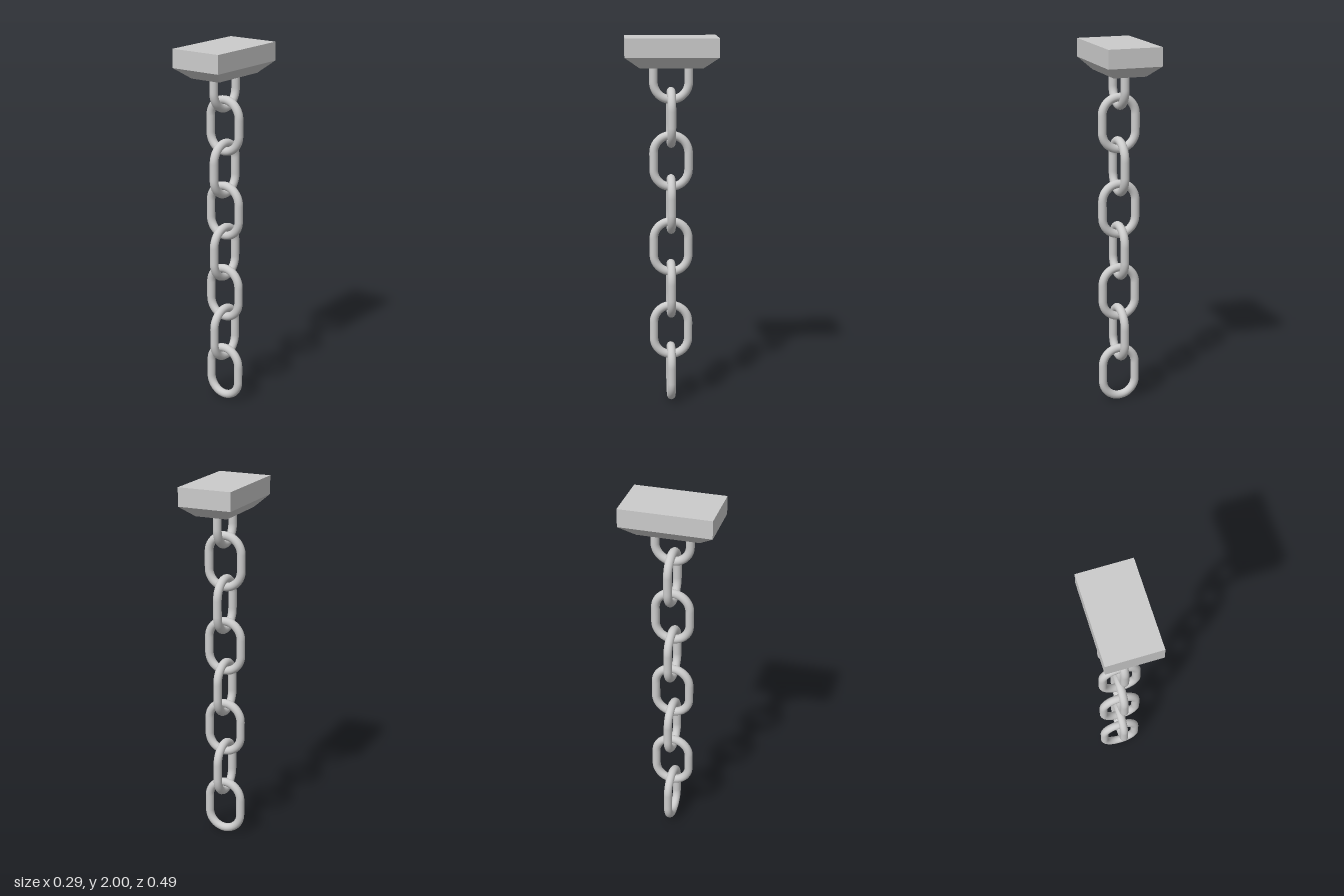
import * as THREE from 'three';

const BEND = 0.094;   // radius of the link's bends, at the wire's centre
const WIRE = 0.023;   // wire radius
const LEG = 0.091;    // straight side of a link
const PITCH = 0.235;  // rise from one link to the next
const LINKS = 7;

// Path down one leg, round the bottom, up the other leg and, if closed, over the top
class LinkCurve extends THREE.Curve {
  constructor(leg, closed) {
    super();
    this.leg = leg;
    this.closed = closed;
  }
  getPoint(t, target = new THREE.Vector3()) {
    const leg = this.leg, arc = Math.PI * BEND;
    let s = t * (2 * leg + arc * (this.closed ? 2 : 1));
    if (s <= leg) return target.set(-BEND, leg - s, 0);
    s -= leg;
    if (s <= arc) return target.set(-BEND * Math.cos(s / BEND), -BEND * Math.sin(s / BEND), 0);
    s -= arc;
    if (s <= leg) return target.set(BEND, s, 0);
    s -= leg;
    return target.set(BEND * Math.cos(s / BEND), leg + BEND * Math.sin(s / BEND), 0);
  }
}

export function createModel() {
  const group = new THREE.Group();
  const metal = new THREE.MeshStandardMaterial({ color: 0xcccccc });
  const flat = new THREE.MeshStandardMaterial({ color: 0xcccccc, flatShading: true });

  const add = (name, geometry, material, y) => {
    const mesh = new THREE.Mesh(geometry, material);
    mesh.name = name;
    mesh.position.y = y;
    group.add(mesh);
    return mesh;
  };

  // Chain of closed links, each turned a quarter from the last
  const linkGeometry = new THREE.TubeGeometry(new LinkCurve(LEG, true), 80, WIRE, 16, true);
  for (let i = 0; i < LINKS; i++) {
    const link = add(`chainLink${i + 1}`, linkGeometry, metal, i * PITCH + BEND + WIRE);
    link.rotation.y = (i % 2) * Math.PI / 2;
  }

  // Open top link, its legs sunk into the mount
  const hangerY = LINKS * PITCH + BEND + WIRE;
  const hangerGeometry = new THREE.TubeGeometry(new LinkCurve(1.86 - hangerY, false), 64, WIRE, 16, false);
  add('hangerLink', hangerGeometry, metal, hangerY).rotation.y = Math.PI / 2;

  // Ceiling mount: a slab over a tapered foot
  add('mountSlab', new THREE.BoxGeometry(0.295, 0.1, 0.494), flat, 1.95);
  const foot = new THREE.BoxGeometry(0.295, 0.06, 0.494);
  const p = foot.attributes.position;
  for (let i = 0; i < p.count; i++) {
    if (p.getY(i) < 0) {
      p.setX(i, Math.sign(p.getX(i)) * 0.089);
      p.setZ(i, Math.sign(p.getZ(i)) * 0.166);
    }
  }
  foot.computeVertexNormals();
  add('mountFoot', foot, flat, 1.87);

  return group;
}
